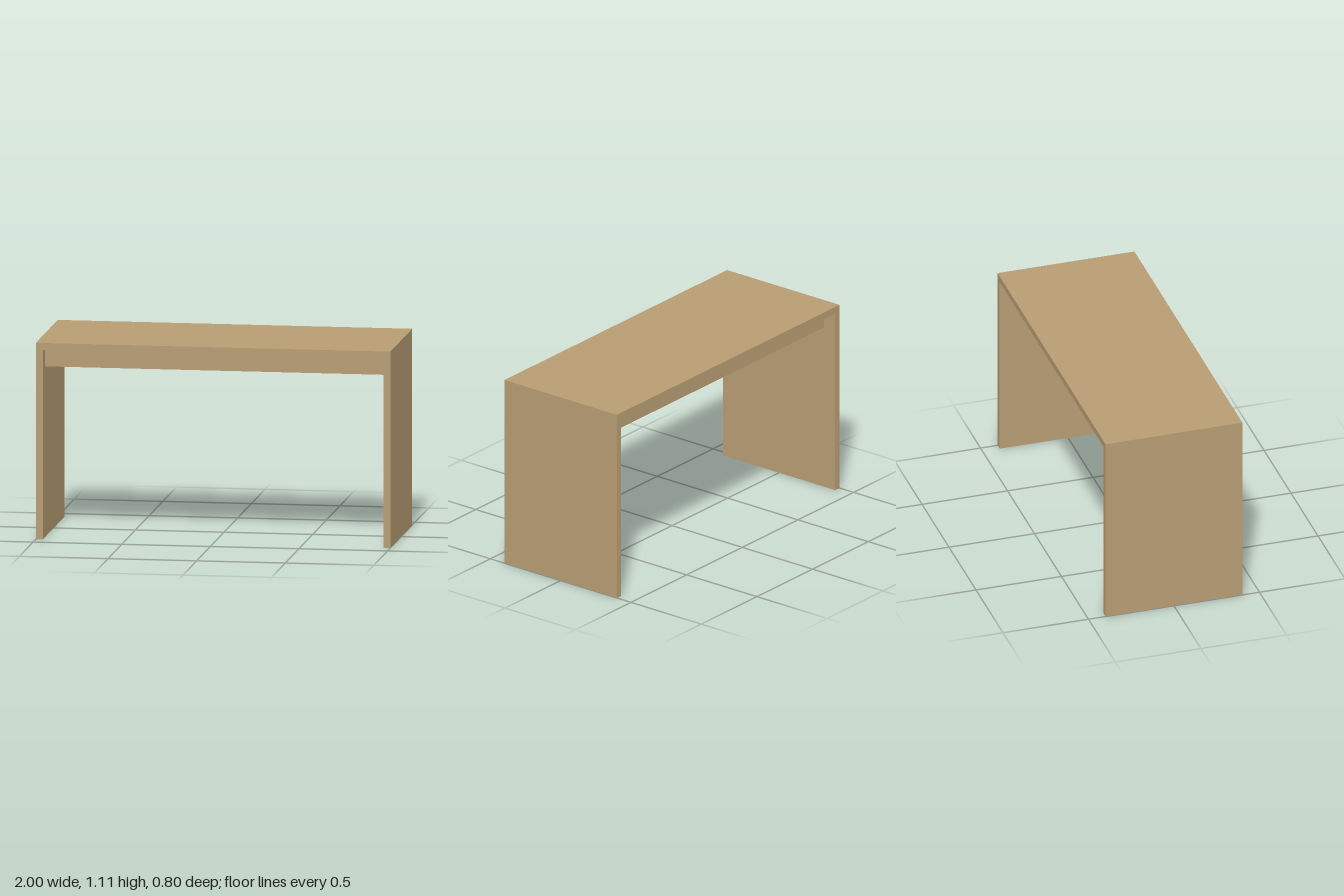
import * as THREE from 'three';

const HEIGHT = 1.11, HALF_WIDTH = 1, DEPTH = 0.8, BOARD = 0.039;
const RAIL_BOTTOM = 0.965, RAIL_THICKNESS = 0.04, RAIL_INSET = 0.08;

export function createModel() {
  const table = new THREE.Group();
  table.name = 'table';
  const wood = new THREE.MeshStandardMaterial({ color: 0xb89d73 });
  wood.name = 'lightWood';

  // Top and both side panels form one continuous arch
  const inner = HALF_WIDTH - BOARD, under = HEIGHT - BOARD;
  const outline = new THREE.Shape([
    [-HALF_WIDTH, 0], [-inner, 0], [-inner, under], [inner, under],
    [inner, 0], [HALF_WIDTH, 0], [HALF_WIDTH, HEIGHT], [-HALF_WIDTH, HEIGHT],
  ].map(([x, y]) => new THREE.Vector2(x, y)));
  const archGeometry = new THREE.ExtrudeGeometry(outline, { depth: DEPTH, bevelEnabled: false });
  archGeometry.translate(0, 0, -DEPTH / 2);
  const arch = new THREE.Mesh(archGeometry, wood);
  arch.name = 'topAndSidePanels';
  table.add(arch);

  // Stiffening rails under the top, set in from the front and back edges
  const railHeight = under - RAIL_BOTTOM;
  const railGeometry = new THREE.BoxGeometry(inner * 2, railHeight, RAIL_THICKNESS);
  for (const [name, side] of [['frontRail', 1], ['backRail', -1]]) {
    const rail = new THREE.Mesh(railGeometry, wood);
    rail.name = name;
    rail.position.set(0, RAIL_BOTTOM + railHeight / 2, side * (DEPTH / 2 - RAIL_INSET - RAIL_THICKNESS / 2));
    table.add(rail);
  }
  return table;
}
